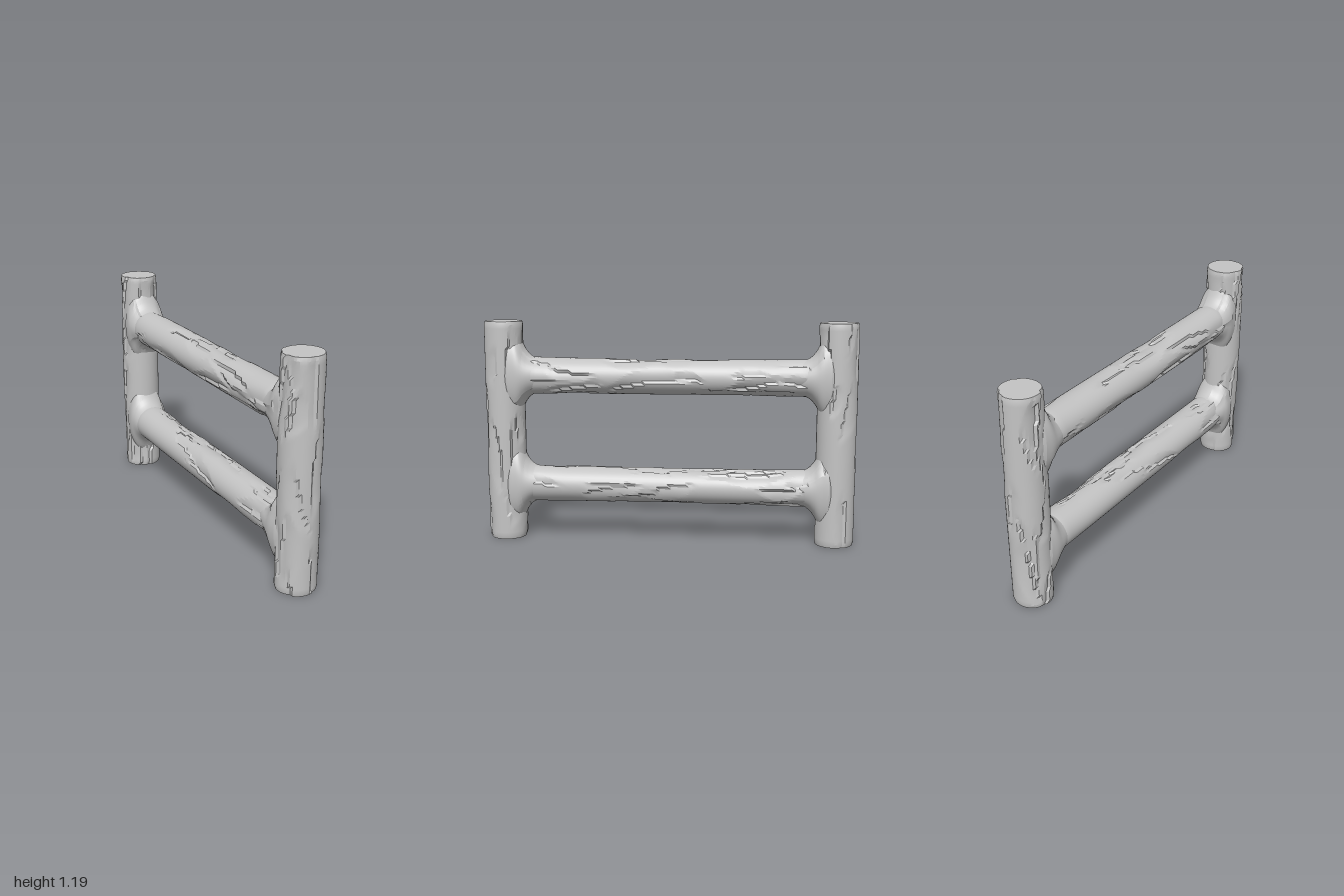
import * as THREE from 'three';
import { toCreasedNormals } from 'three/addons/utils/BufferGeometryUtils.js';

const TAU = Math.PI * 2;

function seeded(seed) {
  let s = seed;
  return () => (s = (s * 16807) % 2147483647) / 2147483647;
}

// Linear interpolation in rows of [position, halfWidthX, halfWidthZ]
function sample(profile, y) {
  let i = 0;
  while (i < profile.length - 2 && y > profile[i + 1][0]) i++;
  const a = profile[i], b = profile[i + 1];
  const t = THREE.MathUtils.clamp((y - a[0]) / (b[0] - a[0]), 0, 1);
  return [a[1] + (b[1] - a[1]) * t, a[2] + (b[2] - a[2]) * t];
}

// Carved log along y: each stroke is a slanted wedge cut, sharp on one side
function carvedLog(profile, { seed, strokes, depth, rows, sides = 44 }) {
  const rand = seeded(seed);
  const y0 = profile[0][0], y1 = profile[profile.length - 1][0];
  const cuts = Array.from({ length: strokes }, () => ({
    y: y0 + rand() * (y1 - y0),
    half: 0.1 + rand() * 0.17,
    angle: rand() * TAU,
    slope: (rand() - 0.5) * 5,
    bend: (rand() - 0.5) * 14,
    width: 0.35 + rand() * 0.6,
    side: rand() < 0.5 ? -1 : 1,
    depth: depth * (0.5 + rand() * 0.5),
  }));
  const geo = new THREE.CylinderGeometry(1, 1, y1 - y0, sides, rows);
  geo.translate(0, (y0 + y1) / 2, 0);
  const p = geo.attributes.position;
  for (let i = 0; i < p.count; i++) {
    const x = p.getX(i), y = p.getY(i), z = p.getZ(i);
    const angle = Math.atan2(x, z);
    let cut = 0;
    for (const c of cuts) {
      const dy = y - c.y, t = Math.abs(dy) / c.half;
      if (t >= 1) continue;
      const line = c.angle + c.slope * dy + c.bend * dy * dy;
      let d = (angle - line) * c.side;
      d -= TAU * Math.round(d / TAU);
      const w = c.width * (1 - t * t);
      if (d >= 0 && d < w) cut = Math.max(cut, c.depth * (1 - d / w) * Math.min(1, 2 * (1 - t)));
    }
    const [hx, hz] = sample(profile, y);
    p.setXYZ(i, x * (hx - cut), y, z * (hz - cut));
  }
  return geo;
}

const finish = (geo) => toCreasedNormals(geo, 0.3);

export function createModel() {
  const group = new THREE.Group();
  const wood = new THREE.MeshStandardMaterial({ color: 0xc4c4c4 });
  wood.name = 'pale grey wood';

  const add = (name, geo, y, z) => {
    const mesh = new THREE.Mesh(finish(geo), wood);
    mesh.name = name;
    mesh.position.set(0, y, z);
    group.add(mesh);
  };

  const post = [
    [0, 0.1, 0.1], [0.015, 0.105, 0.105], [0.6, 0.107, 0.106],
    [1.175, 0.105, 0.105], [1.19, 0.1, 0.1],
  ];
  const rail = [
    [-0.78, 0.094, 0.096], [-0.72, 0.105, 0.1], [-0.55, 0.108, 0.096], [0, 0.108, 0.095],
    [0.55, 0.108, 0.096], [0.72, 0.105, 0.1], [0.78, 0.094, 0.096],
  ];
  // Flared joint, widening vertically into the post
  const joint = [
    [0.7, 0.094, 0.09], [0.735, 0.103, 0.1], [0.76, 0.108, 0.117], [0.785, 0.111, 0.15],
    [0.8, 0.113, 0.185], [0.82, 0.113, 0.215], [0.86, 0.108, 0.22], [0.91, 0.08, 0.2],
  ];

  // Upright posts at the front and back ends
  [['frontPost', 0.895, 411], ['backPost', -0.895, 9277]].forEach(([name, z, seed]) =>
    add(name, carvedLog(post, { seed, strokes: 26, depth: 0.014, rows: 64 }), 0, z));

  // Two horizontal rails, each with a flared joint at both ends
  [['lowerRail', 0.302, 7013], ['upperRail', 0.897, 3307]].forEach(([name, y, seed]) => {
    const bar = carvedLog(rail, { seed, strokes: 34, depth: 0.015, rows: 80 });
    add(name, bar.rotateX(Math.PI / 2), y, 0);
    for (const end of [0, 1]) {
      const flare = carvedLog(joint, { seed: seed + 50 + end * 777, strokes: 4, depth: 0.008, rows: 20 });
      flare.rotateX(Math.PI / 2).rotateY(end * Math.PI);
      add(name + (end ? 'BackJoint' : 'FrontJoint'), flare, y, 0);
    }
  });

  return group;
}
